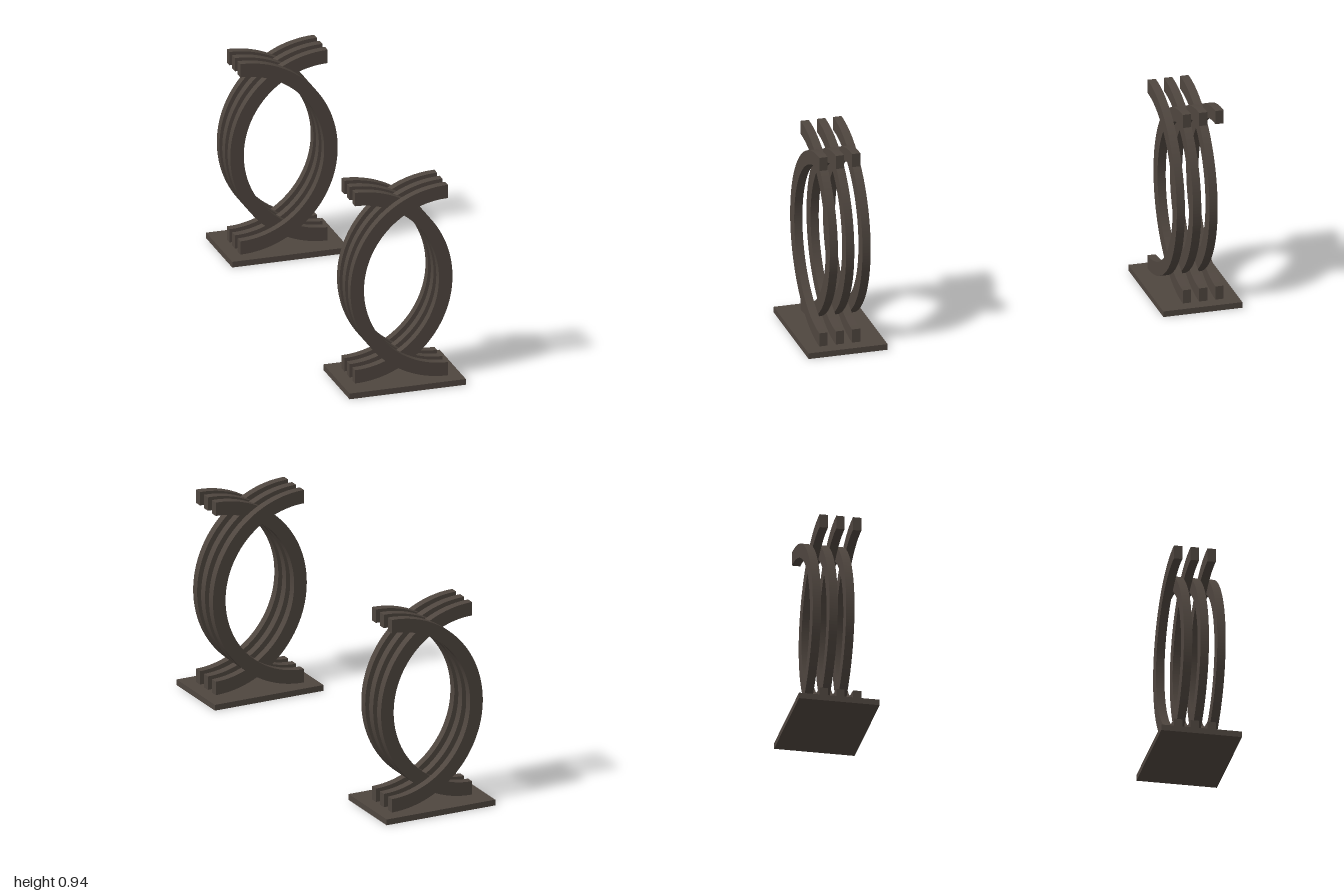
import * as THREE from 'three';

const OUTER = 0.454, INNER = 0.391;       // arc radii
const BASE_TOP = 0.027, END_X = 0.21;     // plinth height, x of the cut arc ends
const SLATS = 6, SLAT_DEPTH = 0.0377, SLATS_START = 0.706;

// Half ring bulging towards -x, extruded along z
function halfRingGeometry() {
  const shape = new THREE.Shape();
  shape.absarc(0, 0, OUTER, Math.PI / 2, Math.PI * 1.5, false);
  shape.absarc(0, 0, INNER, Math.PI * 1.5, Math.PI / 2, true);
  shape.closePath();
  return new THREE.ExtrudeGeometry(shape, { depth: SLAT_DEPTH, bevelEnabled: false, curveSegments: 48 })
    .translate(0, 0, -SLAT_DEPTH / 2);
}

export function createModel() {
  const model = new THREE.Group();
  model.name = 'tableLegs';
  const wood = new THREE.MeshStandardMaterial({ color: 0x4f463f });
  wood.name = 'darkBrown';

  const slatGeometry = halfRingGeometry();
  const baseGeometry = new THREE.BoxGeometry(0.542, BASE_TOP, 0.364);

  // Two mirrored supports, front and rear
  for (const side of [1, -1]) {
    const support = new THREE.Group();
    support.name = side > 0 ? 'frontSupport' : 'rearSupport';

    const base = new THREE.Mesh(baseGeometry, wood);
    base.name = 'basePlate';
    base.position.set(0, BASE_TOP / 2, side * 0.818);
    support.add(base);

    // Interleaved slats, alternately bulging right and left
    for (let i = 0; i < SLATS; i++) {
      const bulgesLeft = i % 2 === 0;
      const slat = new THREE.Mesh(slatGeometry, wood);
      slat.name = bulgesLeft ? 'leftArcSlat' : 'rightArcSlat';
      slat.rotation.y = bulgesLeft ? Math.PI : 0;
      slat.position.set(
        bulgesLeft ? -END_X : END_X,
        BASE_TOP + OUTER,
        side * (SLATS_START + (i + 0.5) * SLAT_DEPTH)
      );
      support.add(slat);
    }
    model.add(support);
  }
  return model;
}
